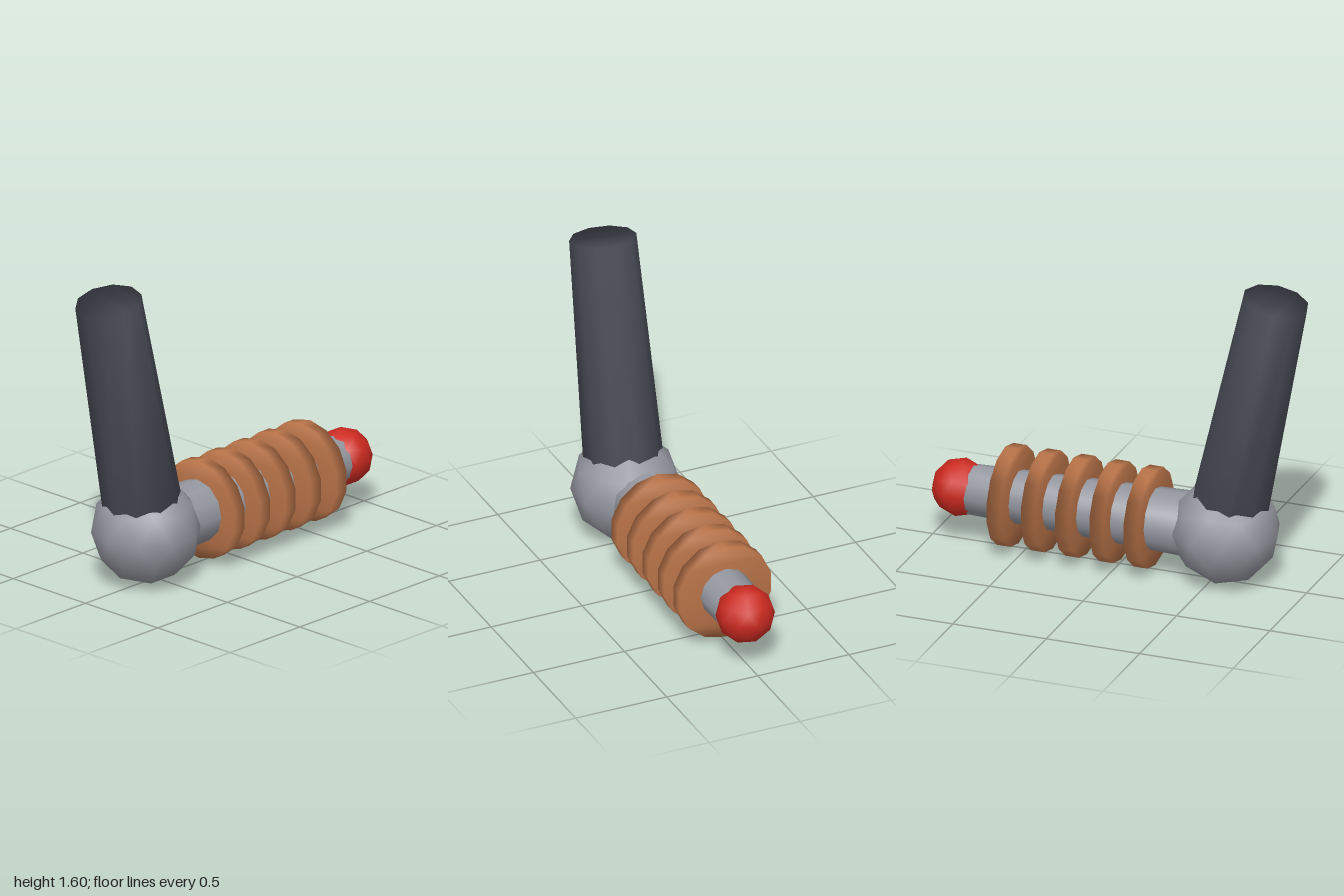
import * as THREE from 'three';

const paint = (color) => new THREE.MeshStandardMaterial({ color });
const darkGrip = paint(0x474a54);
const steel = paint(0x94979f);
const copper = paint(0xba7449);
const red = paint(0xcc2a20);

const AXIS_Y = 0.28; // height of the barrel line
const HUB_Z = 0.567; // centre of the round hub

// Smooth tapered prism along +y from y = 0, with shared rim vertices and an even number of sides
function frustum(r0, r1, length, n) {
  const points = [];
  const index = [];
  for (const [r, y] of [[r0, 0], [r1, length]]) {
    for (let i = 0; i < n; i++) {
      const a = (i / n) * Math.PI * 2;
      points.push(r * Math.sin(a), y, r * Math.cos(a));
    }
  }
  for (let i = 0; i < n; i++) {
    const j = (i + 1) % n;
    index.push(i, j, n + j, i, n + j, n + i);
  }
  // caps in strips from the front corner to the back corner
  for (let k = 1; k < n / 2; k++) {
    for (const [a, b, c] of [[k - 1, k, n - k], [k, n - k - 1, n - k]]) {
      index.push(n + a, n + b, n + c, c, b, a);
    }
  }
  const geometry = new THREE.BufferGeometry();
  geometry.setAttribute('position', new THREE.Float32BufferAttribute(points, 3));
  geometry.setIndex(index);
  geometry.computeVertexNormals();
  return geometry;
}

// Smooth 80-faced ball with a corner pointing straight up
function ball(radius) {
  const golden = (1 + Math.sqrt(5)) / 2;
  return new THREE.IcosahedronGeometry(radius, 1).rotateZ(-Math.atan(1 / golden));
}

export function createModel() {
  const model = new THREE.Group();
  model.name = 'toyBlaster';

  const add = (name, geometry, material, y, z, tilt = 0) => {
    const mesh = new THREE.Mesh(geometry, material);
    mesh.name = name;
    mesh.position.set(0, y, z);
    mesh.rotation.x = tilt;
    model.add(mesh);
    return mesh;
  };
  const BACKWARD = -Math.PI / 2; // turns +y to -z

  // Round hub joining grip and barrel
  add('hub', ball(0.277), steel, AXIS_Y, HUB_Z);

  // Leaning grip, starting inside the hub
  add('grip', frustum(0.205, 0.169, 1.313, 10), darkGrip, AXIS_Y, HUB_Z - 0.004, 0.209);

  // Tapered barrel
  add('barrel', frustum(0.173, 0.126, 1.417, 12), steel, AXIS_Y, HUB_Z, BACKWARD);

  // Five discs along the barrel
  for (let i = 0; i < 5; i++) {
    const z = 0.155 - i * 0.183;
    add(`coilDisc${i + 1}`, frustum(0.257, 0.257, 0.072, 14), copper, AXIS_Y + 0.002, z + 0.036, BACKWARD);
  }

  // Ball at the muzzle
  add('muzzleBall', ball(0.149), red, AXIS_Y + 0.002, -0.85);

  return model;
}
